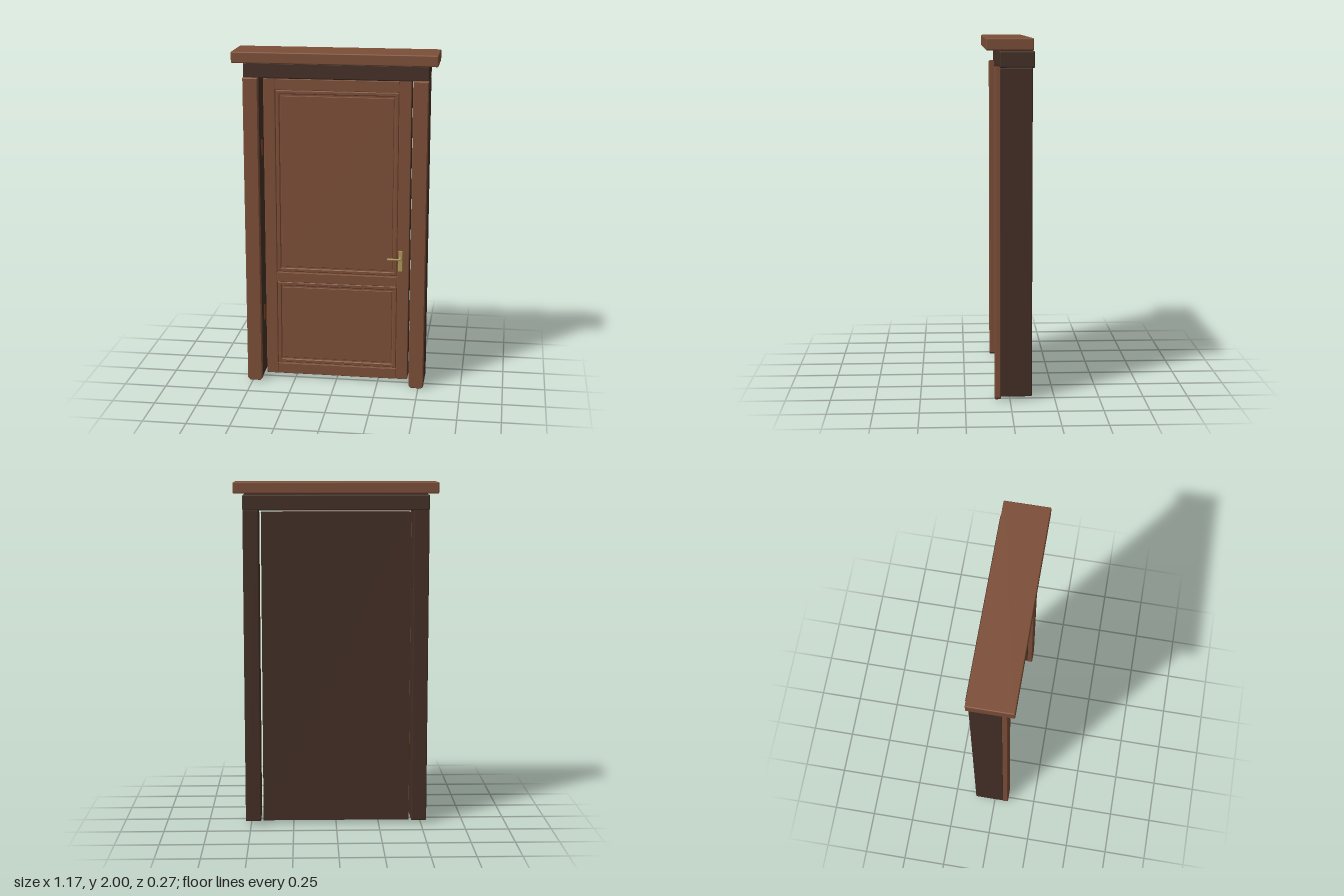
import * as THREE from 'three';
import { RoundedBoxGeometry } from 'three/addons/geometries/RoundedBoxGeometry.js';

export function createModel() {
  const model = new THREE.Group();
  const mat = (name, color) => new THREE.MeshStandardMaterial({ name, color });
  const wood = mat('warm brown wood', 0x7c4e37);
  const dark = mat('dark brown wood', 0x442f26);
  const bronze = mat('hinge bronze', 0x5a2f1c);
  const brass = mat('brass', 0xae9658);

  function add(name, geometry, material, parent = model) {
    const mesh = new THREE.Mesh(geometry, material);
    mesh.name = name;
    parent.add(mesh);
    return mesh;
  }

  // Box given by its limits on each axis, with softened edges when r > 0
  function block(name, [x0, x1], [y0, y1], [z0, z1], material, parent, r = 0) {
    const size = [x1 - x0, y1 - y0, z1 - z0];
    const geometry = r ? new RoundedBoxGeometry(...size, 2, r) : new THREE.BoxGeometry(...size);
    const mesh = add(name, geometry, material, parent);
    mesh.position.set((x0 + x1) / 2, (y0 + y1) / 2, (z0 + z1) / 2);
    return mesh;
  }

  function rectangle(Type, x, y0, y1) {
    const p = new Type();
    p.moveTo(-x, y0);
    p.lineTo(x, y0);
    p.lineTo(x, y1);
    p.lineTo(-x, y1);
    p.closePath();
    return p;
  }

  // Rectangular picture-frame moulding with bevelled edges
  function moulding(name, x, y0, y1, width, z, depth, parent) {
    const shape = rectangle(THREE.Shape, x, y0, y1);
    shape.holes.push(rectangle(THREE.Path, x - width, y0 + width, y1 - width));
    const b = 0.004;
    const geometry = new THREE.ExtrudeGeometry(shape, {
      depth: depth - b, bevelEnabled: true, bevelSegments: 1, bevelSize: b, bevelThickness: b,
    });
    add(name, geometry, wood, parent).position.z = z;
  }

  // Cornice and lintel
  block('cornice', [-0.585, 0.585], [1.935, 2], [-0.125, 0.132], wood, model, 0.007);
  block('lintel', [-0.532, 0.532], [1.84, 1.93], [-0.134, 0.058], dark, model, 0.008);
  block('lintelNeck', [-0.52, 0.52], [1.92, 1.94], [-0.115, 0.048], dark);

  // Jambs with chamfered casings on the front
  for (const side of [-1, 1]) {
    const name = side > 0 ? 'left' : 'right';
    const xs = (a, b) => (side > 0 ? [a, b] : [-b, -a]);
    block(name + 'Jamb', xs(0.442, 0.532), [0.018, 1.842], [-0.122, 0.056], dark, model, 0.006);
    const c = 0.01;
    const profile = new THREE.Shape();
    profile.moveTo(-0.029, 0.005);
    profile.lineTo(0.029, 0.005);
    profile.lineTo(0.029 + c, 0.005 + c);
    profile.lineTo(0.029 + c, 1.84);
    profile.lineTo(-0.029 - c, 1.84);
    profile.lineTo(-0.029 - c, 0.005 + c);
    profile.closePath();
    const casing = add(name + 'Casing', new THREE.ExtrudeGeometry(profile, {
      depth: 0.025, bevelEnabled: true, bevelSegments: 1, bevelSize: 0.005, bevelThickness: 0.005,
    }), wood);
    casing.position.set(side * 0.487, 0, 0.055);
  }

  // Door leaf: dark backing, brown stiles and rails
  const door = new THREE.Group();
  door.name = 'door';
  model.add(door);
  block('doorBack', [-0.428, 0.428], [0.02, 1.83], [-0.107, -0.025], dark, door);
  for (const side of [-1, 1]) {
    block('stile', side > 0 ? [0.36, 0.428] : [-0.428, -0.36], [0.02, 1.83], [-0.025, 0], wood, door, 0.003);
  }
  const rails = [['bottomRail', 0.02, 0.085], ['middleRail', 0.605, 0.665], ['topRail', 1.765, 1.83]];
  for (const [name, y0, y1] of rails) {
    block(name, [-0.36, 0.36], [y0, y1], [-0.025, 0], wood, door, 0.003);
  }

  // Raised panels, each inside a two-step moulding
  for (const [name, y0, y1] of [['lowerPanel', 0.085, 0.605], ['upperPanel', 0.665, 1.765]]) {
    block(name + 'Ground', [-0.36, 0.36], [y0, y1], [-0.025, -0.022], wood, door);
    moulding(name + 'OuterMoulding', 0.354, y0 + 0.007, y1 - 0.007, 0.014, -0.022, 0.012, door);
    block(name, [-0.329, 0.329], [y0 + 0.035, y1 - 0.035], [-0.022, -0.012], wood, door, 0.003);
  }

  // Hinges in the gap on one side
  for (const y of [0.41, 1.425]) {
    const hinge = add('hinge', new THREE.CylinderGeometry(0.008, 0.008, 0.09, 12), bronze, door);
    hinge.position.set(-0.436, y, 0.002);
  }

  // Door handle
  const handle = new THREE.Group();
  handle.name = 'handle';
  door.add(handle);
  block('handlePlate', [0.366, 0.391], [0.703, 0.83], [0, 0.009], brass, handle, 0.003);
  const neck = add('handleNeck', new THREE.CylinderGeometry(0.008, 0.008, 0.04, 16), brass, handle);
  neck.rotation.x = Math.PI / 2;
  neck.position.set(0.379, 0.787, 0.027);
  const path = new THREE.CatmullRomCurve3([
    new THREE.Vector3(0.383, 0.787, 0.045),
    new THREE.Vector3(0.35, 0.788, 0.048),
    new THREE.Vector3(0.308, 0.787, 0.046),
  ]);
  add('handleLever', new THREE.TubeGeometry(path, 12, 0.006, 10), brass, handle);
  for (const i of [0, 2]) {
    add('leverEnd', new THREE.SphereGeometry(0.006, 10, 8), brass, handle).position.copy(path.points[i]);
  }

  return model;
}
